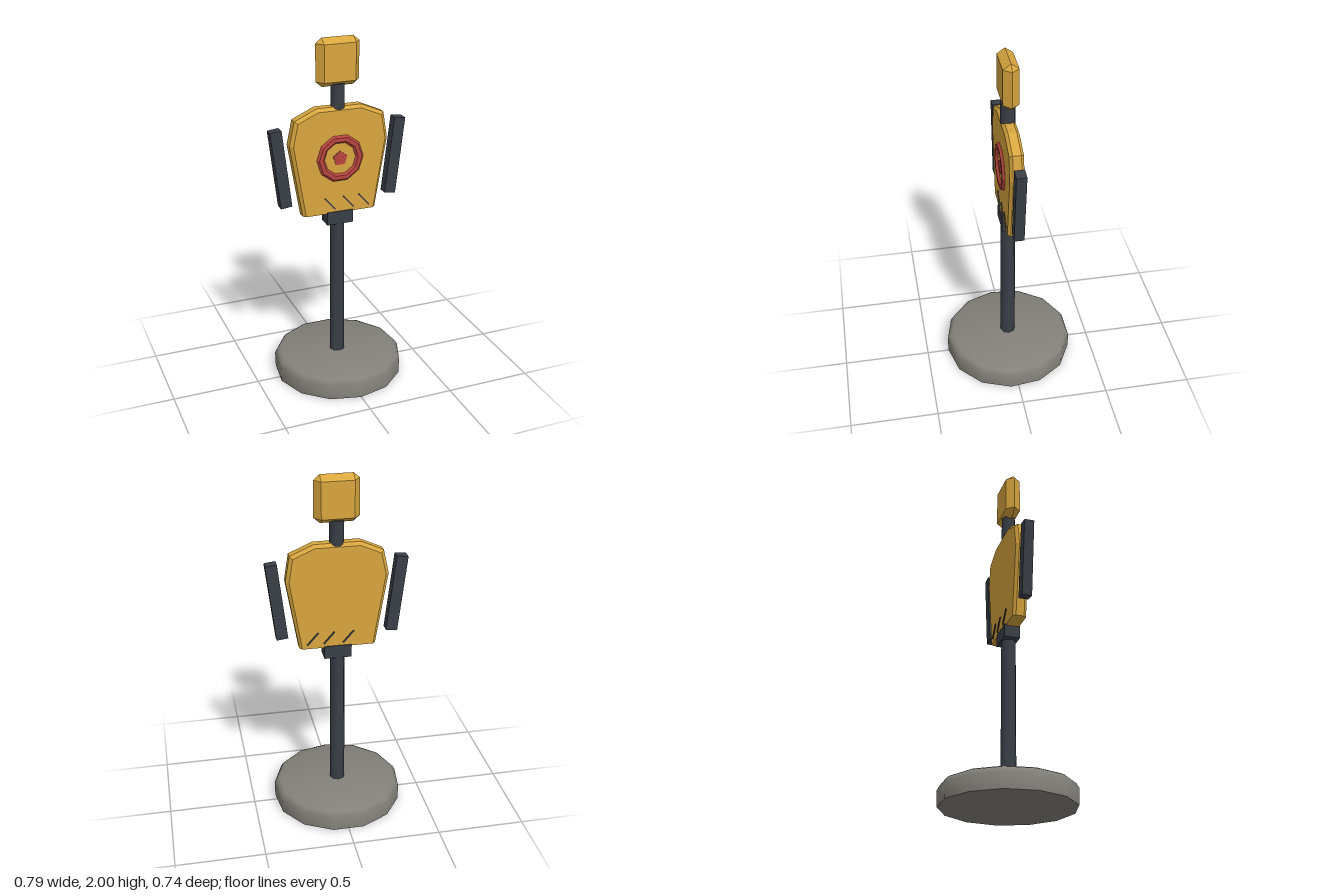
import * as THREE from 'three';
import { toCreasedNormals } from 'three/addons/utils/BufferGeometryUtils.js';
import { ConvexGeometry } from 'three/addons/geometries/ConvexGeometry.js';

const paint = (color, flatShading = true) => new THREE.MeshStandardMaterial({ color, flatShading });

export function createModel() {
  const model = new THREE.Group();
  const yellow = paint(0xd8a63e);
  const dark = paint(0x3a3f47);
  const darkSmooth = paint(0x3a3f47, false);
  const stone = paint(0x83817a, false);
  const red = paint(0xb8443f);

  const add = (name, geometry, material, x = 0, y = 0, z = 0) => {
    const mesh = new THREE.Mesh(geometry, material);
    mesh.name = name;
    mesh.position.set(x, y, z);
    model.add(mesh);
    return mesh;
  };

  // Round weighted base with a softened upper rim
  const profile = [[0, 0], [0.372, 0], [0.374, 0.09], [0.36, 0.115], [0.34, 0.125], [0, 0.125]]
    .map(([r, y]) => new THREE.Vector2(r, y));
  add('base', toCreasedNormals(new THREE.LatheGeometry(profile, 13), 0.9), stone);

  // Pole and waist bracket
  add('pole', toCreasedNormals(new THREE.CylinderGeometry(0.042, 0.044, 0.86, 8), 0.9), darkSmooth, -0.003, 0.54);
  add('waistBracket', new THREE.BoxGeometry(0.155, 0.075, 0.09), dark, 0, 0.985);

  // Bevelled torso plate, kept square along its lower edge
  const outline = [[-0.2, 1.0], [0.2, 1.0], [0.267, 1.42], [0.245, 1.555],
    [0.125, 1.607], [-0.125, 1.607], [-0.24, 1.555], [-0.267, 1.43]]
    .map(([x, y]) => new THREE.Vector2(x, y));
  const torso = new THREE.ExtrudeGeometry(new THREE.Shape(outline),
    { depth: 0.046, bevelThickness: 0.016, bevelSize: 0.018, bevelSegments: 1 });
  torso.translate(0, 0, -0.023);
  const p = torso.attributes.position;
  for (let i = 0; i < p.count; i++) if (p.getY(i) < 1.1) p.setY(i, 1.015);
  add('torso', torso, yellow);

  // Neck and faceted head
  add('neck', toCreasedNormals(new THREE.CylinderGeometry(0.041, 0.041, 0.14, 8), 0.9), darkSmooth, 0, 1.68);
  const headPoints = [];
  for (const sx of [-1, 1]) {
    for (const y of [1.765, 1.97]) {
      for (const z of [-0.043, 0.043]) headPoints.push(new THREE.Vector3(sx * 0.09, y, z));
      headPoints.push(new THREE.Vector3(sx * 0.125, y, 0));
    }
    for (const y of [1.735, 2]) headPoints.push(new THREE.Vector3(sx * 0.09, y, 0));
  }
  add('head', new ConvexGeometry(headPoints), yellow);

  // Arms splayed outwards at the shoulders
  for (const side of [-1, 1]) {
    const arm = add(side > 0 ? 'leftArm' : 'rightArm',
      new THREE.BoxGeometry(0.065, 0.443, 0.056), dark, side * 0.335, 1.303);
    arm.rotation.z = -side * 0.118;
  }

  // Chest target: flattened ring and pentagonal bullseye
  const ring = add('targetRing', new THREE.TorusGeometry(0.114, 0.023, 6, 10), red, 0, 1.335, 0.04);
  ring.scale.z = 0.65;
  const bullseye = add('bullseye', new THREE.CylinderGeometry(0.043, 0.043, 0.02, 5), red, 0, 1.335, 0.035);
  bullseye.rotation.set(Math.PI / 2, Math.PI, 0);

  // Slanted slashes cut across the lower torso
  for (const x of [-0.06, 0.05, 0.142]) {
    const slash = add('slash', new THREE.BoxGeometry(0.008, 0.093, 0.09), dark, x, 1.074);
    slash.rotation.z = 0.72;
  }

  return model;
}
